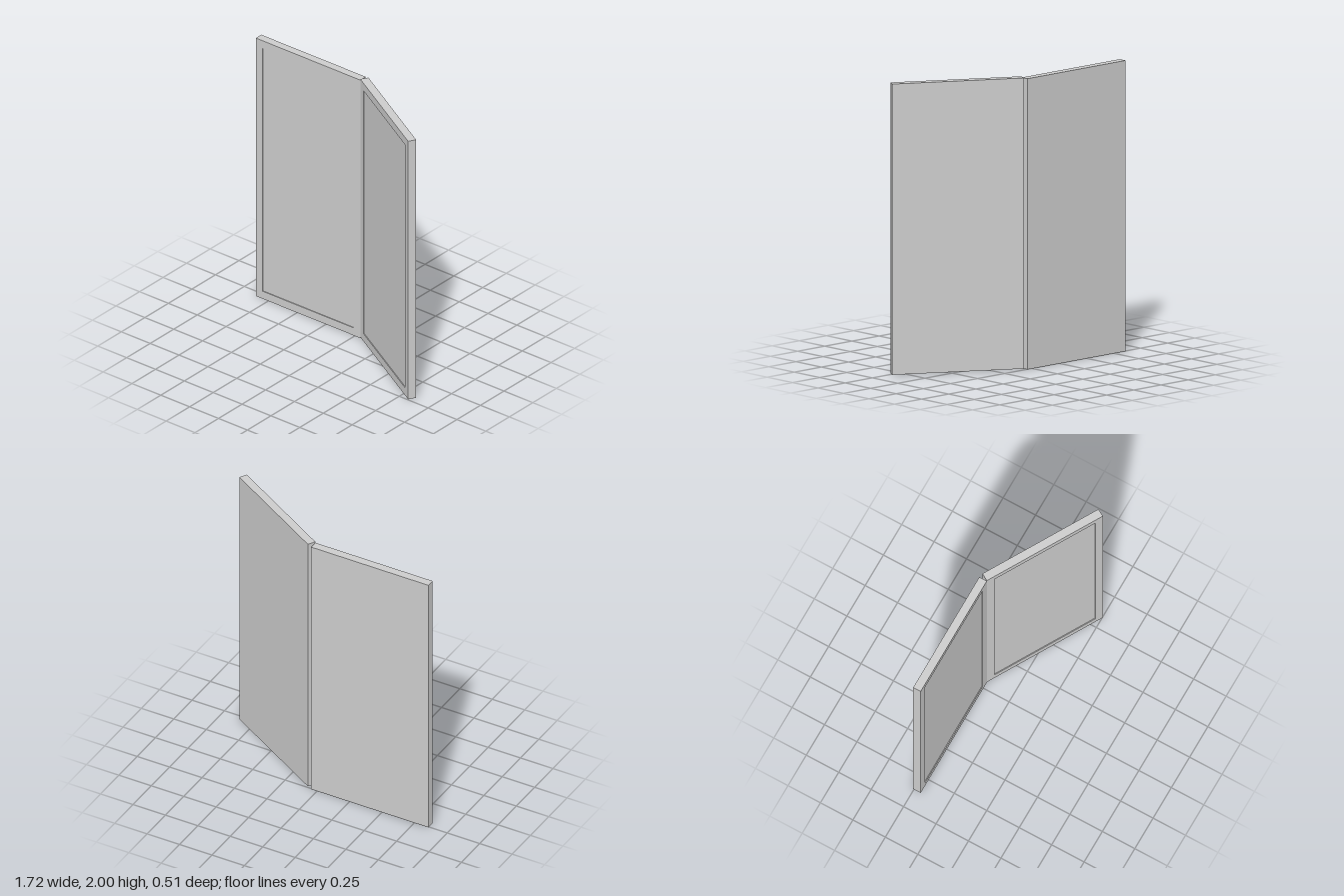
import * as THREE from 'three';

const W = 0.905, H = 1.992, T = 0.058, BORDER = 0.058, RECESS = 0.006;
const material = new THREE.MeshStandardMaterial({ color: 0xcccccc });

// One panel: front face on local z = 0, outer rim around a shallow recess
function makePanel(name) {
  const panel = new THREE.Group();
  panel.name = name;

  const rect = (P, inset) => {
    const x = W / 2 - inset, y = H / 2 - inset;
    return new P([[-x, -y], [x, -y], [x, y], [-x, y]].map(p => new THREE.Vector2(...p)));
  };
  const outline = rect(THREE.Shape, 0);
  outline.holes.push(rect(THREE.Path, BORDER));
  const rim = new THREE.Mesh(
    new THREE.ExtrudeGeometry(outline, { depth: RECESS, bevelEnabled: false }), material);
  rim.name = name + 'Rim';
  rim.position.z = -RECESS;

  const board = new THREE.Mesh(new THREE.BoxGeometry(W, H, T - RECESS), material);
  board.name = name + 'Board';
  board.position.z = -(T + RECESS) / 2;

  panel.add(rim, board);
  return panel;
}

export function createModel() {
  const model = new THREE.Group();
  model.name = 'foldingPanels';
  const hinge = new THREE.Vector3(0.047, 0, -0.198);

  // Straight panel
  const right = makePanel('rightPanel');
  right.position.set(hinge.x - W / 2, H / 2, hinge.z);

  // Panel folded forward 30 degrees about the shared edge, set slightly higher
  const pivot = new THREE.Group();
  pivot.name = 'foldedPanelPivot';
  pivot.position.copy(hinge);
  pivot.rotation.y = -Math.PI / 6;
  const left = makePanel('leftPanel');
  left.position.set(W / 2, H / 2 + 0.008, 0);
  pivot.add(left);

  model.add(right, pivot);
  return model;
}
